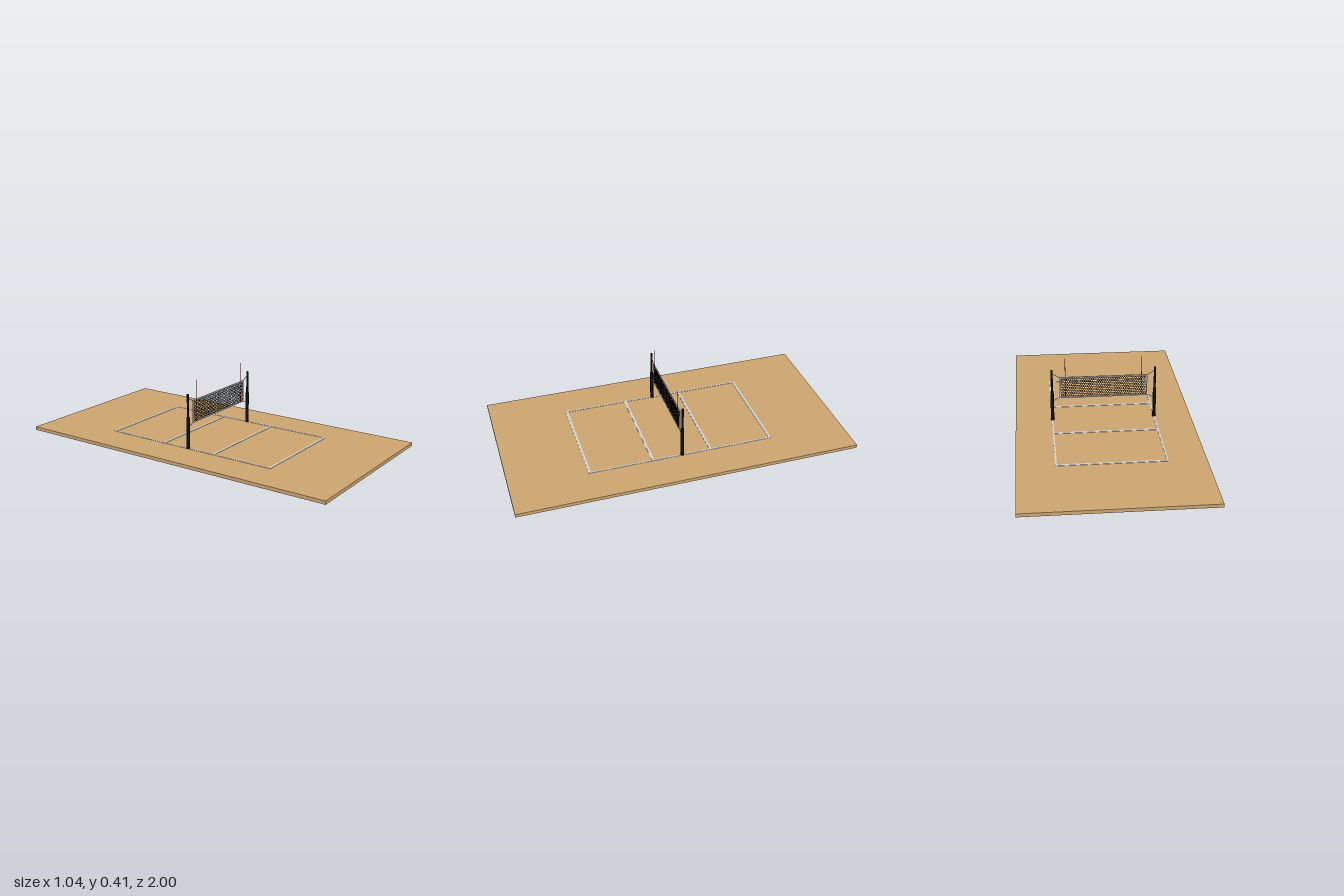
import * as THREE from 'three';
import { mergeGeometries } from 'three/addons/utils/BufferGeometryUtils.js';

const material = (name, color) => {
  const m = new THREE.MeshStandardMaterial({ color });
  m.name = name;
  return m;
};

export function createModel() {
  const sand = material('sand', 0xcaa470);
  const white = material('off white', 0xcfcfcf);
  const black = material('black', 0x0c0c0c);
  const red = material('red', 0x9c1020);

  const model = new THREE.Group();
  model.name = 'volleyballCourt';

  const add = (name, geometry, mat, x = 0, y = 0, z = 0) => {
    const mesh = new THREE.Mesh(geometry, mat);
    mesh.name = name;
    mesh.position.set(x, y, z);
    model.add(mesh);
    return mesh;
  };
  const box = (name, w, h, d, mat, x, y, z) =>
    add(name, new THREE.BoxGeometry(w, h, d), mat, x, y, z);

  // Sand slab
  const top = 0.02;
  box('ground', 1.044, top, 2, sand, 0, top / 2, 0);

  // Painted court lines
  for (const s of [-1, 1]) {
    box('sideLine', 0.009, 0.002, 1.1, white, s * 0.304, top + 0.001, 0);
    box('endLine', 0.6, 0.002, 0.014, white, 0, top + 0.001, s * 0.543);
    box('attackLine', 0.6, 0.002, 0.014, white, 0, top + 0.001, s * 0.173);
  }

  // Net tapes
  const halfW = 0.255, low = 0.165, high = 0.292;
  for (const y of [low, high]) box('netTape', 0.52, 0.007, 0.005, white, 0, y, 0);

  for (const s of [-1, 1]) {
    box('netSideTape', 0.007, high - low, 0.005, white, s * halfW, (low + high) / 2, 0);

    // Telescopic post
    add('postSleeve', new THREE.CylinderGeometry(0.01, 0.01, 0.185, 20), black, s * 0.303, 0.1125, 0);
    add('post', new THREE.CylinderGeometry(0.0065, 0.0065, 0.14, 20), black, s * 0.303, 0.271, 0);

    // Ropes from the net corners to the post
    for (const [y0, y1] of [[high, 0.319], [low, 0.145]]) {
      const path = new THREE.LineCurve3(
        new THREE.Vector3(s * 0.256, y0, 0), new THREE.Vector3(s * 0.3, y1, 0));
      add('rope', new THREE.TubeGeometry(path, 1, 0.002, 8), white);
    }

    // Antenna rod
    add('antenna', new THREE.CylinderGeometry(0.0017, 0.0017, 0.247, 8), red, s * 0.224, 0.2865, 0.003);
  }

  // Hexagonal mesh: three strands per cell
  const pitch = 0.0125, edge = pitch / Math.sqrt(3), rowStep = edge * 1.5;
  const strands = [];
  for (let row = 0; row * rowStep < high - low - 0.004; row++) {
    for (let col = -20; col <= 20; col++) {
      const cx = (col + (row % 2) / 2) * pitch;
      const cy = low + 0.004 + row * rowStep;
      if (Math.abs(cx) > halfW - 0.004) continue;
      for (let k = 0; k < 3; k++) {
        const a = k * Math.PI / 3;
        const strand = new THREE.BoxGeometry(0.0021, edge + 0.001, 0.0025);
        strand.rotateZ(a);
        strand.translate(cx + Math.cos(a) * pitch / 2, cy + Math.sin(a) * pitch / 2, 0);
        strands.push(strand);
      }
    }
  }
  add('netMesh', mergeGeometries(strands), black);

  return model;
}
